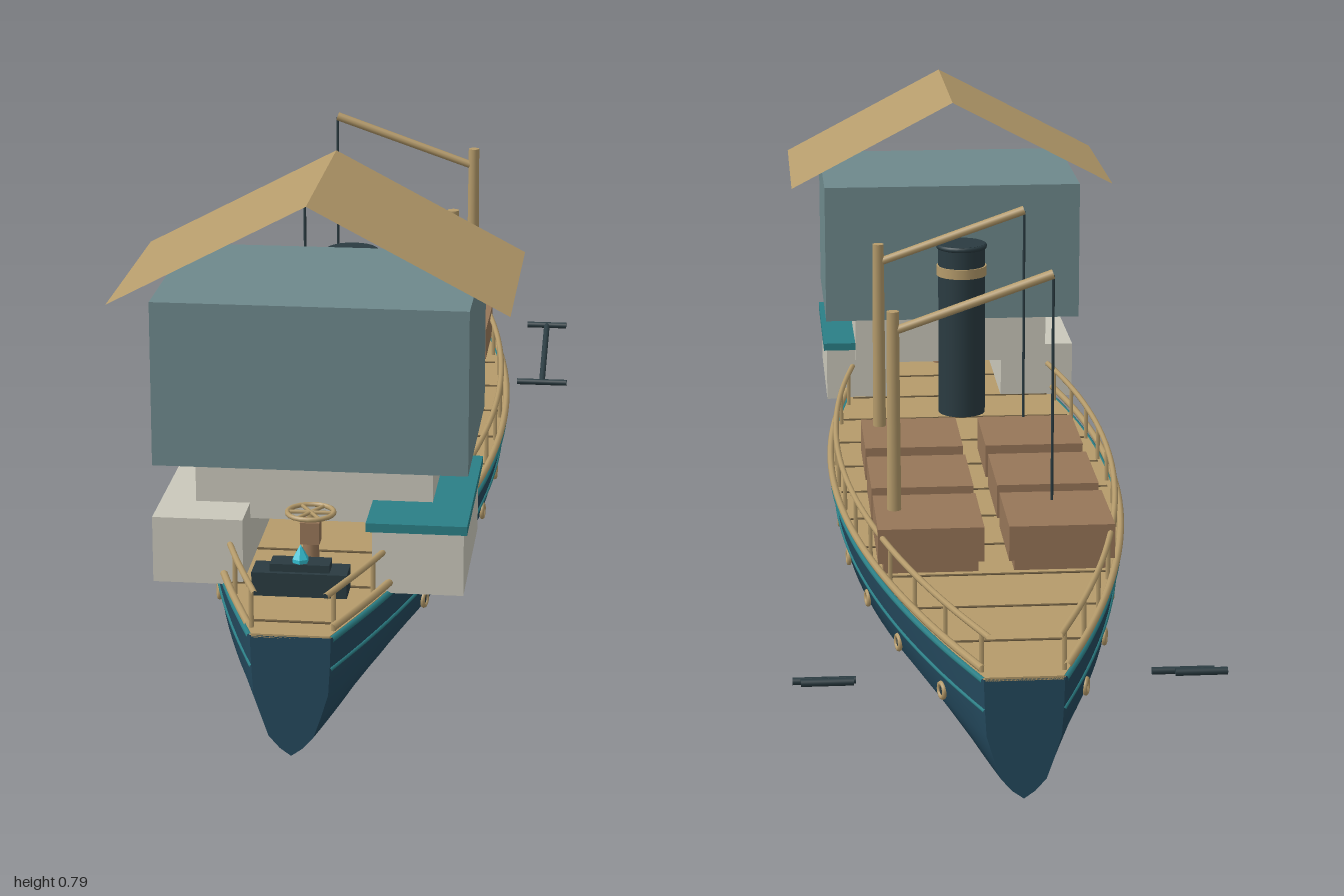
import * as THREE from 'three';

const material = (name, color) => {
  const m = new THREE.MeshStandardMaterial({ color });
  m.name = name;
  return m;
};

export function createModel() {
  const ship = new THREE.Group();
  ship.name = 'cargoShip';

  const navy = material('navy hull', 0x24495d);
  const teal = material('teal trim', 0x2b7f86);
  const wood = material('pale wood', 0xb59b6b);
  const brown = material('crate brown', 0x977658);
  const cream = material('cream paint', 0xcac8bb);
  const slate = material('slate blue', 0x6e898c);
  const iron = material('dark iron', 0x2a3b41);
  const cyan = material('bright cyan', 0x35c3d6);
  const seam = material('deck seam', 0x6b5a3e);
  const sheet = material('roof sheet', 0xb59b6b);
  sheet.side = THREE.DoubleSide;

  const add = (name, geometry, mat, x = 0, y = 0, z = 0, parent = ship) => {
    const mesh = new THREE.Mesh(geometry, mat);
    mesh.name = name;
    mesh.position.set(x, y, z);
    parent.add(mesh);
    return mesh;
  };
  // Box given by its lower and upper limits on each axis
  const box = (name, mat, x0, x1, y0, y1, z0, z1) =>
    add(name, new THREE.BoxGeometry(x1 - x0, y1 - y0, z1 - z0), mat,
      (x0 + x1) / 2, (y0 + y1) / 2, (z0 + z1) / 2);
  // Round bar between two points
  const bar = (name, mat, a, b, r0, r1 = r0, sides = 10) => {
    const from = new THREE.Vector3(...a), to = new THREE.Vector3(...b);
    const dir = to.clone().sub(from);
    const mesh = add(name, new THREE.CylinderGeometry(r1, r0, dir.length(), sides), mat);
    mesh.position.copy(from).add(to).multiplyScalar(0.5);
    mesh.quaternion.setFromUnitVectors(new THREE.Vector3(0, 1, 0), dir.normalize());
    return mesh;
  };

  // Hull: one section scaled by the half width along the length
  const halfWidth = z => 0.06 + 0.187 * (1 - z * z);
  const half = [[1, 0.19], [0.975, 0.145], [0.93, 0.1], [0.75, 0.064], [0.56, 0.031], [0.28, 0.012]];
  const section = [...half, [0, 0], ...half.map(([x, y]) => [-x, y]).reverse()];
  const steps = 40, n = section.length, positions = [], index = [];
  for (let i = 0; i <= steps; i++) {
    const z = -1 + (2 * i) / steps;
    for (const [x, y] of section) positions.push(x * halfWidth(z), y, z);
  }
  for (let i = 0; i < steps; i++) {
    for (let j = 0; j < n - 1; j++) {
      const a = i * n + j, b = a + 1, c = a + n, d = c + 1;
      index.push(a, c, b, c, d, b);
    }
  }
  const hullGeometry = new THREE.BufferGeometry();
  hullGeometry.setAttribute('position', new THREE.Float32BufferAttribute(positions, 3));
  hullGeometry.setIndex(index);
  hullGeometry.computeVertexNormals();
  add('hull', hullGeometry, navy);
  const endShape = new THREE.Shape(section.map(([x, y]) => new THREE.Vector2(x * halfWidth(1), y)));
  add('bowEnd', new THREE.ShapeGeometry(endShape), navy, 0, 0, 1);
  add('sternEnd', new THREE.ShapeGeometry(endShape), navy, 0, 0, -1).rotation.y = Math.PI;

  // Deck and its cross seams
  const outline = [];
  for (let i = 0; i <= steps; i++) outline.push(-1 + (2 * i) / steps);
  const deckShape = new THREE.Shape([
    ...outline.map(z => new THREE.Vector2(halfWidth(z) - 0.002, -z)),
    ...outline.slice().reverse().map(z => new THREE.Vector2(0.002 - halfWidth(z), -z)),
  ]);
  const deckGeometry = new THREE.ExtrudeGeometry(deckShape, { depth: 0.006, bevelEnabled: false });
  add('deck', deckGeometry, wood, 0, 0.187, 0).rotation.x = -Math.PI / 2;
  for (let i = 0; i < 13; i++) {
    const z = -0.85 + i * 0.15, w = halfWidth(z) - 0.01;
    if (z < 0.98) box('deckSeam', seam, -w, w, 0.192, 0.1945, z - 0.003, z + 0.003);
  }

  // Lines that follow the side of the hull
  const sideLine = (name, mat, side, scale, offset, y, radius, end = 1) => {
    const points = [];
    for (let i = 0; i <= 16; i++) {
      const z = end * (-1 + i / 8);
      points.push(new THREE.Vector3(side * (halfWidth(z) * scale + offset), y, z));
    }
    add(name, new THREE.TubeGeometry(new THREE.CatmullRomCurve3(points), 48, radius, 8), mat);
  };
  for (const s of [-1, 1]) {
    sideLine('gunwaleTrim', teal, s, 1, 0, 0.188, 0.005);
    sideLine('hullStrake', teal, s, 0.972, 0, 0.14, 0.003);
    sideLine('lowerRail', wood, s, 1, 0.002, 0.207, 0.006);
    sideLine('upperRail', wood, s, 1, -0.008, 0.255, 0.005);
    for (let i = 0; i < 16; i++) {
      const z = -0.975 + i * 0.13, x = s * (halfWidth(z) - 0.008);
      bar('railPost', wood, [x, 0.19, z], [x, 0.255, z], 0.004, 0.004, 6);
    }
    // Portholes
    for (let i = 0; i < 8; i++) {
      const z = 0.63 - i * 0.21;
      const porthole = new THREE.Group();
      porthole.name = 'porthole';
      porthole.position.set(s * halfWidth(z) * 0.945, 0.112, z);
      porthole.rotation.y = s * Math.PI / 2 - Math.atan(0.374 * z) * s;
      add('portholeRing', new THREE.TorusGeometry(0.011, 0.004, 8, 16), wood, 0, 0, 0.002, porthole);
      add('portholeGlass', new THREE.CircleGeometry(0.011, 16), iron, 0, 0, 0.003, porthole);
      ship.add(porthole);
    }
    // Anchors hanging off both quarters
    const x = s * 0.285;
    bar('anchorShank', iron, [x, 0.07, -0.68], [x, 0.138, -0.86], 0.006);
    bar('anchorStock', iron, [x - 0.04, 0.138, -0.86], [x + 0.04, 0.138, -0.86], 0.006);
    bar('anchorArms', iron, [x - 0.05, 0.07, -0.68], [x + 0.05, 0.07, -0.68], 0.006);
  }

  // Cargo hatches in three rows of two
  for (const z of [-0.45, -0.23, 0]) {
    for (const s of [-1, 1]) {
      const x = s * 0.106;
      box('hatchBody', brown, x - 0.077, x + 0.077, 0.19, 0.25, z - 0.082, z + 0.082);
      box('hatchLid', brown, x - 0.086, x + 0.086, 0.212, 0.27, z - 0.09, z + 0.09);
    }
  }

  // Cargo masts with booms and cables
  for (const z of [0.05, -0.435]) {
    bar('mast', wood, [0.16, 0.19, z], [0.16, 0.605, z], 0.012, 0.01, 12);
    bar('boom', wood, [0.165, 0.57, z], [-0.1, 0.662, z], 0.007, 0.008);
    bar('cable', iron, [-0.1, 0.66, z], [-0.1, 0.28, z], 0.0025, 0.0025, 6);
  }

  // Funnel
  add('funnel', new THREE.CylinderGeometry(0.043, 0.043, 0.32, 24), iron, 0, 0.41, 0.2);
  add('funnelBand', new THREE.CylinderGeometry(0.046, 0.046, 0.018, 24), wood, 0, 0.52, 0.2);
  add('funnelRim', new THREE.TorusGeometry(0.042, 0.005, 8, 24), iron, 0, 0.565, 0.2).rotation.x = Math.PI / 2;

  // Bridge house with an open gable roof
  box('bridgeBase', cream, -0.185, 0.185, 0.27, 0.37, 0.48, 0.72);
  box('bridgeHouse', slate, -0.243, 0.243, 0.37, 0.63, 0.42, 0.775);
  const roofSlope = Math.atan2(0.16, 0.305), roofLength = Math.hypot(0.16, 0.305);
  for (const s of [-1, 1]) {
    const plane = new THREE.PlaneGeometry(roofLength, 0.38).rotateX(-Math.PI / 2).rotateZ(-s * roofSlope);
    add('roofSlope', plane, sheet, s * 0.1525, 0.71, 0.607);
  }

  // Side cabins, the left one roofed
  box('rightCabin', cream, -0.24, -0.1, 0.19, 0.295, 0.5, 0.8);
  box('leftCabin', cream, 0.1, 0.24, 0.19, 0.293, 0.51, 0.81);
  box('leftCabinRoof', teal, 0.092, 0.246, 0.293, 0.307, 0.49, 0.825);

  // Steering stand with a flat wheel
  bar('wheelStand', brown, [0, 0.19, 0.76], [0, 0.25, 0.76], 0.016, 0.012, 12);
  box('wheelHead', brown, -0.015, 0.015, 0.25, 0.285, 0.745, 0.775);
  bar('wheelShaft', wood, [0, 0.285, 0.76], [0, 0.3, 0.76], 0.006);
  add('wheelRim', new THREE.TorusGeometry(0.036, 0.004, 8, 20), wood, 0, 0.298, 0.76).rotation.x = Math.PI / 2;
  for (let i = 0; i < 3; i++) {
    const a = i * Math.PI / 3, x = 0.036 * Math.cos(a), z = 0.036 * Math.sin(a);
    bar('wheelSpoke', wood, [-x, 0.298, 0.76 - z], [x, 0.298, 0.76 + z], 0.003, 0.003, 6);
  }

  // Bow chest with a crystal lamp
  box('bowChest', iron, -0.072, 0.072, 0.213, 0.25, 0.85, 0.9);
  box('bowChestLid', iron, -0.045, 0.045, 0.25, 0.262, 0.857, 0.893);
  const crystal = new THREE.LatheGeometry(
    [[0, 0.245], [0.012, 0.252], [0.013, 0.268], [0, 0.29]].map(p => new THREE.Vector2(...p)), 6).toNonIndexed();
  crystal.computeVertexNormals();
  add('crystalLamp', crystal, cyan, 0, 0, 0.88);

  return ship;
}
